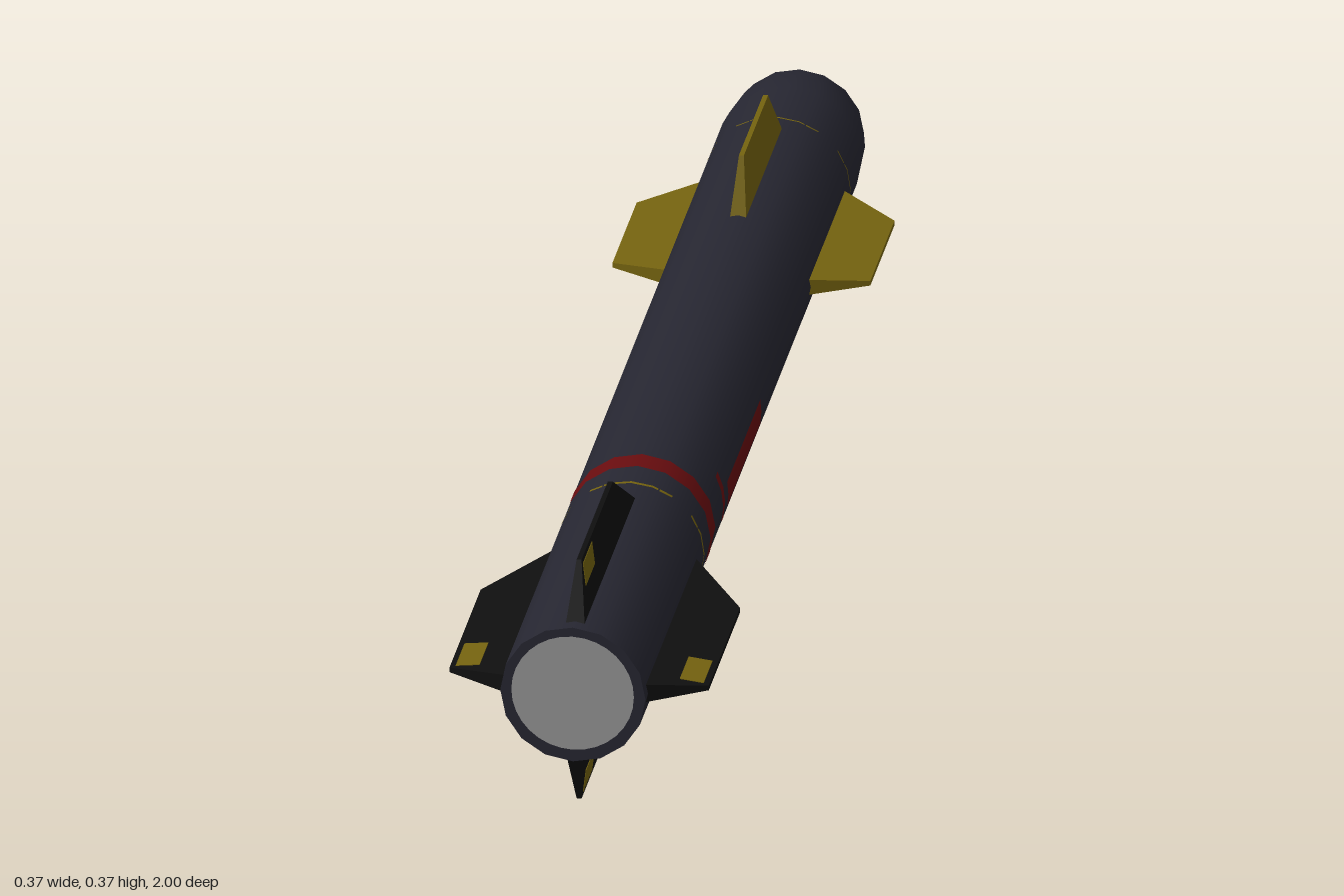
import * as THREE from 'three';

const RADIUS = 0.103, SIDES = 16, AXIS_Y = 0.184;

const material = (name, color, side = THREE.FrontSide) => {
  const m = new THREE.MeshStandardMaterial({ color, side });
  m.name = name;
  return m;
};

// Tapered plate standing on the hull: each end is { r, z0, z1, t } (radius, z range, thickness)
function taperedPlate(root, tip) {
  const geo = new THREE.BoxGeometry(1, 1, 1);
  const p = geo.attributes.position;
  for (let i = 0; i < p.count; i++) {
    const end = p.getY(i) > 0 ? tip : root;
    p.setXYZ(i, p.getX(i) * end.t, end.r, p.getZ(i) > 0 ? end.z1 : end.z0);
  }
  geo.computeVertexNormals();
  return geo;
}

// Painted skin wrapped on the hull between two z values, centred on an angle from the top
function hullSkin(z0, z1, angle, halfAngle, segments) {
  const geo = new THREE.CylinderGeometry(RADIUS + 0.0008, RADIUS + 0.0008, z1 - z0, segments, 1, true,
    angle - halfAngle, halfAngle * 2);
  geo.rotateX(-Math.PI / 2);
  geo.translate(0, 0, (z0 + z1) / 2);
  return geo;
}

export function createModel() {
  const hull = material('hull slate', 0x262631);
  const black = material('fin black', 0x0f0f0f);
  const yellow = material('olive yellow', 0x75630f);
  const red = material('dark red', 0x680d0f);
  const grey = material('nozzle grey', 0x969696);

  const model = new THREE.Group();
  const missile = new THREE.Group();
  missile.name = 'missile';
  missile.position.y = AXIS_Y;
  model.add(missile);

  const add = (name, geo, mat, roll = 0) => {
    const mesh = new THREE.Mesh(geo, mat);
    mesh.name = name;
    mesh.rotation.z = roll;
    missile.add(mesh);
    return mesh;
  };

  // Hull with rounded nose, pointing to -z
  const profile = [
    [RADIUS, -0.998], [RADIUS, 0], [RADIUS, 0.84], [0.1, 0.88], [0.091, 0.925],
    [0.073, 0.96], [0.048, 0.984], [0.022, 0.997], [0, 1],
  ].map(([r, y]) => new THREE.Vector2(r, y));
  add('body', new THREE.LatheGeometry(profile, SIDES).rotateX(-Math.PI / 2), hull);

  // Flat tail end and exhaust disc
  add('tailCap', new THREE.CircleGeometry(RADIUS, SIDES), hull).position.z = 0.998;
  add('exhaustDisc', new THREE.CircleGeometry(0.087, 32), grey).position.set(0, 0.003, 1);

  // Painted band all the way round
  add('redBand', hullSkin(0.41, 0.45, 0, Math.PI, SIDES), red);

  // Red side markings
  for (const side of [1, -1]) {
    const angle = side * Math.PI / 2;
    add('sideStripe', hullSkin(0.02, 0.3, angle, 0.18, 2), red);
    add('sideTick', hullSkin(0.327, 0.343, angle, 0.46, 4), red);
  }

  // Fins in a cross, repeated every quarter turn
  const tailFin = taperedPlate(
    { r: 0.094, z0: 0.54, z1: 0.98, t: 0.028 },
    { r: 0.184, z0: 0.68, z1: 0.945, t: 0.007 });
  const tailPatch = taperedPlate(
    { r: 0.142, z0: 0.865, z1: 0.94, t: 0.0185 },
    { r: 0.176, z0: 0.865, z1: 0.94, t: 0.0105 });
  const wing = taperedPlate(
    { r: 0.094, z0: -0.71, z1: -0.4, t: 0.024 },
    { r: 0.183, z0: -0.635, z1: -0.43, t: 0.007 });
  for (let i = 0; i < 4; i++) {
    const roll = i * Math.PI / 2;
    add('tailFin', tailFin, black, roll);
    add('tailFinPatch', tailPatch, yellow, roll);
    add('foreWing', wing, yellow, roll);
    add('rearSeamMark', hullSkin(0.502, 0.508, 0, 0.6, 4), yellow, roll);
    add('foreSeamMark', hullSkin(-0.736, -0.733, 0, 0.6, 4), yellow, roll);
  }

  return model;
}
